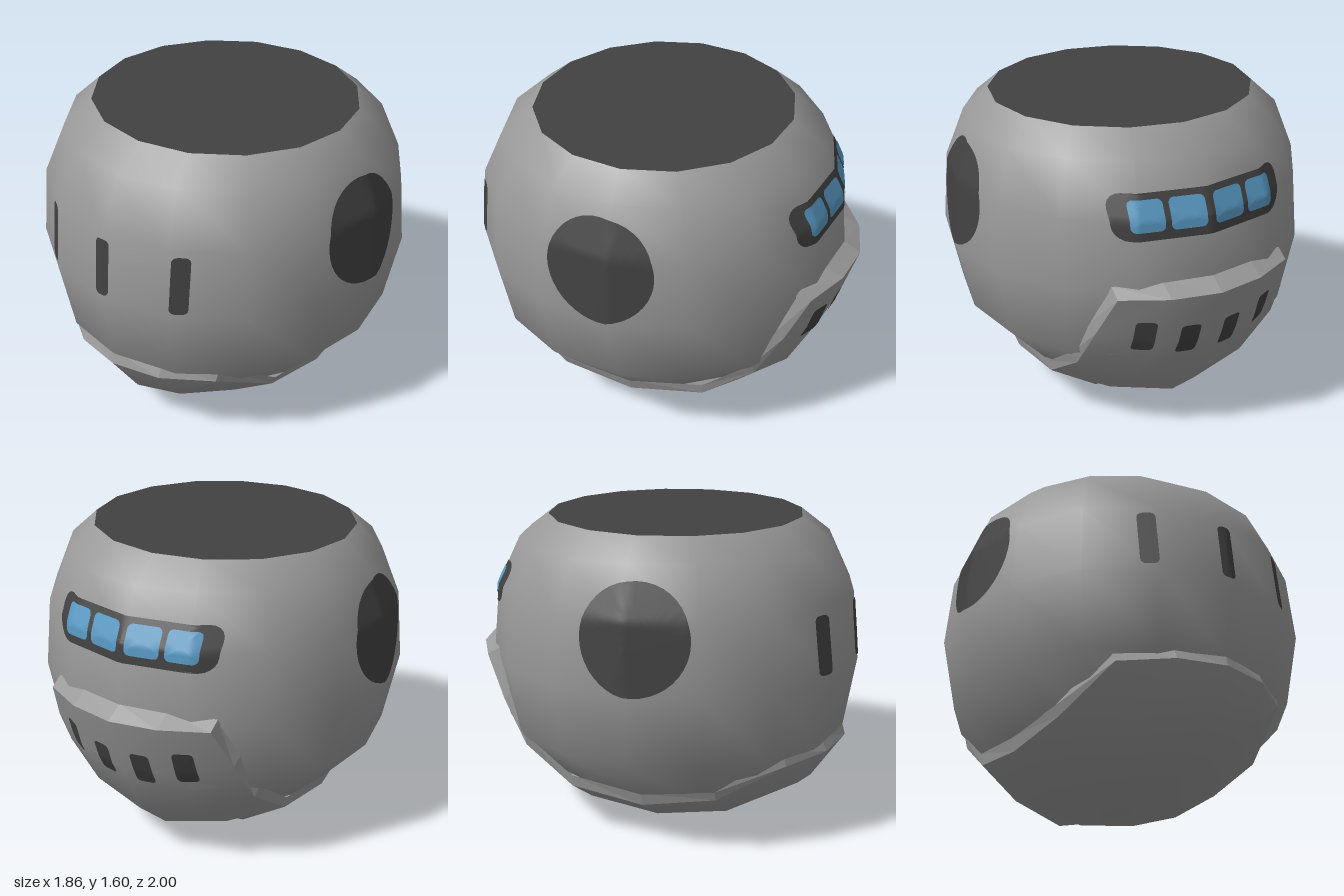
import * as THREE from 'three';
import { mergeVertices } from 'three/addons/utils/BufferGeometryUtils.js';

const CENTRE_Z = 0.04;

// Smooth indexed geometry from flat coordinate and index lists
function indexed(points, index) {
  const g = new THREE.BufferGeometry();
  g.setAttribute('position', new THREE.Float32BufferAttribute(points.flat(), 3));
  g.setIndex(index);
  g.computeVertexNormals();
  return g;
}

// Flat-faced copy
function faceted(g) {
  const f = g.toNonIndexed();
  f.computeVertexNormals();
  return f;
}

const mirrored = ([x, y, z]) => [-x, y, z];

// Loft through rows given as [centre, middle, edge], mirrored across x
function loft(rows) {
  const pts = [], index = [];
  for (const [c, m, e] of rows) pts.push(mirrored(e), mirrored(m), c, m, e);
  for (let r = 0; r < rows.length - 1; r++) {
    for (let k = 0; k < 4; k++) {
      const a = r * 5 + k;
      index.push(a, a + 5, a + 1, a + 1, a + 5, a + 6);
    }
  }
  return indexed(pts, index);
}

// Rounded rectangle outline; lean shifts the top edge inward (trapezoid)
function roundedOutline(cx, cy, w, h, r, lean = 0) {
  const pts = [];
  for (const [sx, sy, start] of [[1, 1, 0], [-1, 1, 1], [-1, -1, 2], [1, -1, 3]]) {
    for (let i = 0; i <= 5; i++) {
      const t = (start + i / 5) * Math.PI / 2;
      const dx = sx * (w / 2 - r) + r * Math.cos(t);
      const dy = sy * (h / 2 - r) + r * Math.sin(t);
      pts.push([cx + dx * (1 + lean * dy), cy + dy]);
    }
  }
  // Extra points along the straight runs
  return pts.flatMap((p, i) => {
    const q = pts[(i + 1) % pts.length];
    const n = Math.max(1, Math.ceil(Math.hypot(q[0] - p[0], q[1] - p[1]) / 0.03));
    return Array.from({ length: n }, (_, k) =>
      [p[0] + (q[0] - p[0]) * k / n, p[1] + (q[1] - p[1]) * k / n]);
  });
}

function circleOutline(cx, cy, r) {
  return Array.from({ length: 40 }, (_, i) => {
    const t = i / 40 * Math.PI * 2;
    return [cx + r * Math.cos(t), cy + r * Math.sin(t)];
  });
}

// Thin painted plate: an outline laid onto a target mesh along direction d
function decal(target, d, outline, lift, rings) {
  const out = new THREE.Vector3(...d);
  const u = new THREE.Vector3(0, 1, 0).cross(out);
  const ray = new THREE.Raycaster();
  const n = outline.length;
  const cx = outline.reduce((s, p) => s + p[0], 0) / n;
  const cy = outline.reduce((s, p) => s + p[1], 0) / n;
  const project = (a, b) => {
    const from = u.clone().multiplyScalar(a).addScaledVector(out, 3);
    from.y = b;
    ray.set(from, out.clone().negate());
    const hit = ray.intersectObject(target)[0];
    return hit ? hit.point.addScaledVector(hit.face.normal, lift).toArray() : from.addScaledVector(out, -2.2).toArray();
  };
  const pts = [project(cx, cy)], index = [];
  for (let r = 1; r <= rings; r++) {
    for (const [a, b] of outline) pts.push(project(cx + (a - cx) * r / rings, cy + (b - cy) * r / rings));
  }
  for (let i = 0; i < n; i++) {
    const j = (i + 1) % n;
    index.push(0, 1 + i, 1 + j);
    for (let r = 0; r < rings - 1; r++) {
      const a = 1 + r * n, b = a + n;
      index.push(a + i, b + i, b + j, a + i, b + j, a + j);
    }
  }
  return indexed(pts, index);
}

export function createModel() {
  const group = new THREE.Group();
  const hull = new THREE.MeshStandardMaterial({ color: 0x999999, side: THREE.DoubleSide });
  hull.name = 'hull grey';
  const dark = new THREE.MeshStandardMaterial({ color: 0x414141 });
  dark.name = 'dark grey';
  const glass = new THREE.MeshStandardMaterial({ color: 0x5898c2 });
  glass.name = 'window blue';

  const add = (name, geometry, material) => {
    const mesh = new THREE.Mesh(geometry, material);
    mesh.name = name;
    group.add(mesh);
    mesh.updateMatrixWorld();
    return mesh;
  };

  // Round body: rings of [y, x radius, z radius]
  const rings = [[0.05, 0, 0], [0.1, 0.33, 0.36], [0.27, 0.62, 0.66], [0.52, 0.848, 0.9],
    [0.89, 0.925, 0.96], [1.24, 0.895, 0.925], [1.485, 0.8, 0.805], [1.6, 0.675, 0.652]];
  let bodyGeo = new THREE.LatheGeometry(rings.map(([y, r]) => new THREE.Vector2(r, y)), 16);
  const pos = bodyGeo.attributes.position;
  for (let i = 0; i < pos.count; i++) {
    const [, rx, rz] = rings[i % rings.length];
    pos.setZ(i, pos.getZ(i) * (rx ? rz / rx : 1) + CENTRE_Z);
  }
  bodyGeo.deleteAttribute('uv');
  bodyGeo.deleteAttribute('normal');
  bodyGeo = mergeVertices(bodyGeo);
  bodyGeo.computeVertexNormals();
  const body = add('body', bodyGeo, hull);

  // Flat dark top
  const cap = new THREE.CircleGeometry(1, 16);
  cap.rotateX(-Math.PI / 2).scale(0.675, 1, 0.652).translate(0, 1.6, CENTRE_Z);
  add('topCap', cap, dark);

  // Raised lower shell, front to back
  add('lowerShell', loft([
    [[0, 0.47, 0.955], [0.25, 0.465, 0.9], [0.48, 0.455, 0.74]],
    [[0, 0.22, 0.785], [0.27, 0.285, 0.765], [0.48, 0.455, 0.74]],
    [[0, 0.05, 0.41], [0.34, 0.11, 0.41], [0.58, 0.275, 0.41]],
    [[0, 0, 0.04], [0.35, 0.05, 0.04], [0.61, 0.215, 0.04]],
    [[0, 0.04, -0.32], [0.34, 0.1, -0.33], [0.59, 0.265, -0.34]],
    [[0, 0.125, -0.51], [0.32, 0.175, -0.43], [0.59, 0.265, -0.34]],
  ]), hull);

  // Raised back panel, bottom to top, with a lip over the lower shell
  const seam = [[0, 0.1, -0.555], [0.32, 0.16, -0.47], [0.59, 0.265, -0.34]];
  const panel = add('backPanel', loft([
    seam,
    [[0, 0.3, -0.775], [0.3, 0.35, -0.715], [0.56, 0.45, -0.6]],
    [[0, 0.6, -0.91], [0.27, 0.62, -0.86], [0.52, 0.67, -0.73]],
    [[0, 0.89, -1], [0.24, 0.89, -0.955], [0.46, 0.885, -0.84]],
  ]), hull);
  add('panelLip', faceted(loft([
    [[0, 0.135, -0.49], [0.32, 0.185, -0.41], [0.58, 0.27, -0.33]], seam])), hull);

  // Bevelled rim round the shell and panel: [outer, inner] pairs, mirrored into a loop
  const rimHalf = [
    [[0, 0.47, 0.955], [0, 0.54, 0.935]],
    [[0.25, 0.465, 0.9], [0.25, 0.537, 0.87]],
    [[0.48, 0.455, 0.74], [0.49, 0.53, 0.72]],
    [[0.58, 0.275, 0.41], [0.6, 0.325, 0.41]],
    [[0.61, 0.215, 0.04], [0.63, 0.285, 0.04]],
    [[0.59, 0.265, -0.34], [0.6, 0.325, -0.34]],
    [[0.56, 0.45, -0.6], [0.58, 0.51, -0.59]],
    [[0.52, 0.67, -0.73], [0.53, 0.71, -0.69]],
    [[0.46, 0.885, -0.84], [0.46, 0.925, -0.775]],
    [[0.24, 0.89, -0.955], [0.24, 0.94, -0.86]],
    [[0, 0.89, -1], [0, 0.945, -0.91]],
  ];
  const loop = [...rimHalf, ...rimHalf.slice(1, -1).reverse().map(pair => pair.map(mirrored))];
  const rimIndex = [];
  loop.forEach((_, i) => {
    const a = i * 2, b = ((i + 1) % loop.length) * 2;
    rimIndex.push(a, b, a + 1, b, b + 1, a + 1);
  });
  add('shellRim', faceted(indexed(loop.flat(), rimIndex)), hull);

  // Round side patches
  add('leftDisc', decal(body, [1, 0, 0], circleOutline(-0.088, 1.155, 0.265), 0.005, 12), dark);
  add('rightDisc', decal(body, [-1, 0, 0], circleOutline(0.088, 1.155, 0.265), 0.005, 12), dark);

  // Front slots
  for (const x of [-0.39, 0, 0.39]) {
    add('frontSlot', decal(body, [0, 0, 1], roundedOutline(x, 1.06, 0.075, 0.295, 0.025), 0.005, 6), dark);
  }

  // Back window band with four panes
  const back = [0, 0, -1];
  add('windowBand', decal(body, back, roundedOutline(0, 1.255, 0.9, 0.21, 0.07, 0.15), 0.004, 20), dark);
  for (const s of [-1, 1]) {
    add('innerPane', decal(body, back, roundedOutline(s * 0.105, 1.262, 0.17, 0.14, 0.025), 0.008, 8), glass);
    add('outerPane', decal(body, back, roundedOutline(s * 0.295, 1.262, 0.155, 0.14, 0.025), 0.008, 8), glass);
    // Back panel slots
    add('innerPanelSlot', decal(panel, back, roundedOutline(s * 0.11, 0.62, 0.095, 0.18, 0.02), 0.005, 6), dark);
    add('outerPanelSlot', decal(panel, back, roundedOutline(s * 0.32, 0.66, 0.09, 0.18, 0.02), 0.005, 6), dark);
  }
  return group;
}
